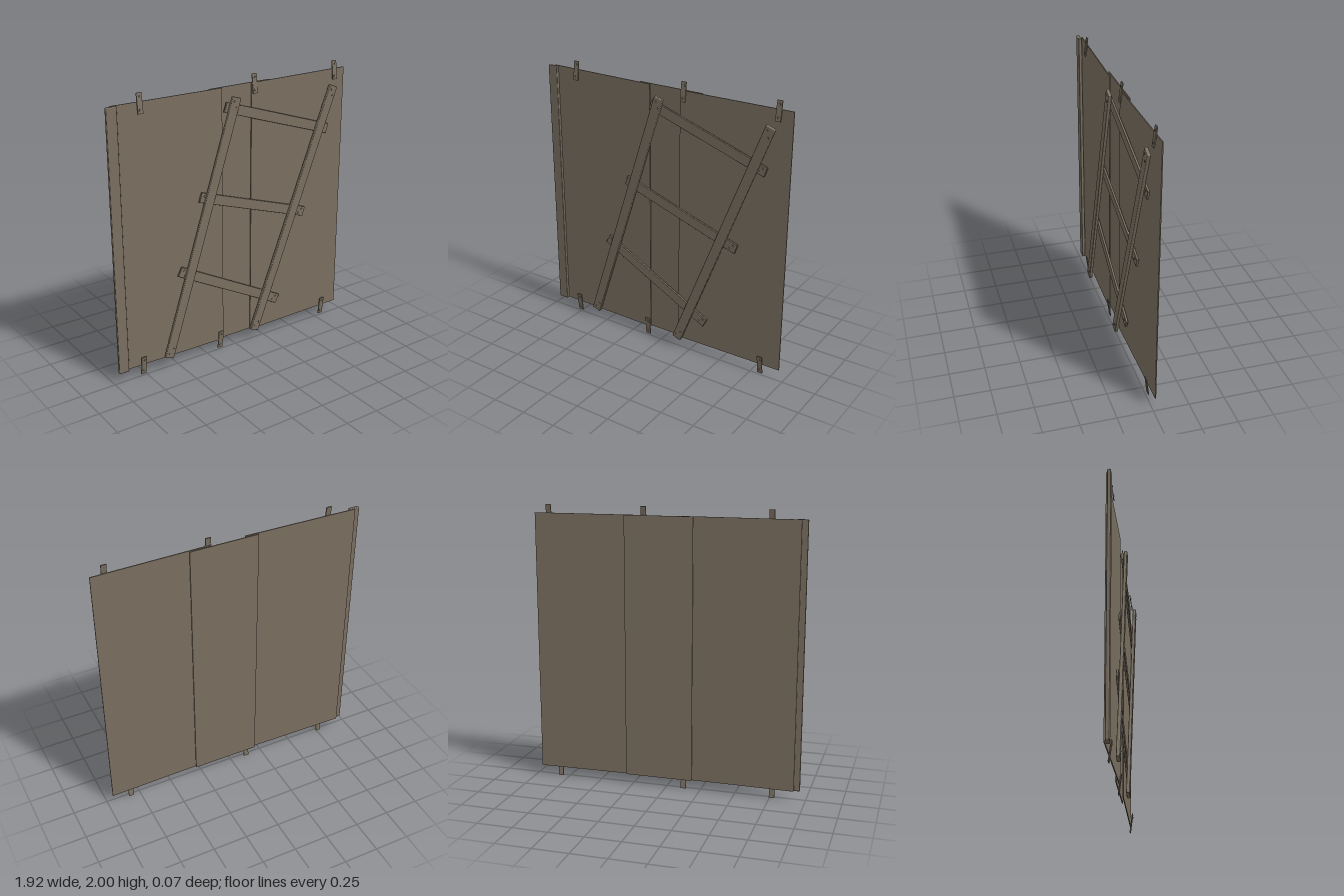
import * as THREE from 'three';
import { RoundedBoxGeometry } from 'three/addons/geometries/RoundedBoxGeometry.js';

const wood = new THREE.MeshStandardMaterial({ color: 0x7a6f60 });
wood.name = 'weatheredWood';

// Plank lying in the xy plane between two points, with bolts at its ends
function plank(name, a, b, width, depth, z, boltOffsets = [], boltRadius = 0.008) {
  const group = new THREE.Group();
  group.name = name;
  const dx = b[0] - a[0], dy = b[1] - a[1], length = Math.hypot(dx, dy);
  const board = new THREE.Mesh(new RoundedBoxGeometry(width, length, depth, 2, depth * 0.25), wood);
  board.name = name + 'Board';
  group.add(board);
  for (const end of [-1, 1]) {
    for (const [along, across] of boltOffsets) {
      const bolt = new THREE.Mesh(new THREE.CylinderGeometry(boltRadius * 0.8, boltRadius, 0.005, 8), wood);
      bolt.name = 'bolt';
      bolt.rotation.x = Math.PI / 2;
      bolt.position.set(across, end * (length / 2 - along), depth / 2 + 0.001);
      group.add(bolt);
    }
  }
  group.position.set((a[0] + b[0]) / 2, (a[1] + b[1]) / 2, z);
  group.rotation.z = Math.atan2(-dx, dy);
  return group;
}

// Thin sheet from x0 to x1, slightly turned so that neighbours overlap
function sheet(name, x0, z0, x1, z1) {
  const group = new THREE.Group();
  group.name = name;
  const width = Math.hypot(x1 - x0, z1 - z0);
  for (const [y0, y1] of [[0.07, 1.005], [1.005, 1.94]]) {
    const half = new THREE.Mesh(new THREE.BoxGeometry(width, y1 - y0, 0.007), wood);
    half.name = y0 < 1 ? 'lowerSheet' : 'upperSheet';
    half.position.y = (y0 + y1) / 2;
    group.add(half);
  }
  group.position.set((x0 + x1) / 2, 0, (z0 + z1) / 2);
  group.rotation.y = -Math.atan2(z1 - z0, x1 - x0);
  return group;
}

// Small strap bolted on the sheet edge and leaning back past it
function strap(x, inner, outer) {
  const group = new THREE.Group();
  group.name = 'edgeStrap';
  const length = Math.abs(outer - inner);
  const plate = new THREE.Mesh(new THREE.BoxGeometry(0.038, length, 0.007), wood);
  plate.name = 'strapPlate';
  group.add(plate);
  for (const end of [-1, 1]) {
    const bolt = new THREE.Mesh(new THREE.CylinderGeometry(0.006, 0.008, 0.005, 8), wood);
    bolt.name = 'bolt';
    bolt.rotation.x = Math.PI / 2;
    bolt.position.set(0.004 * end, end * (length / 2 - 0.025), 0.005);
    group.add(bolt);
  }
  group.position.set(x, (inner + outer) / 2, -0.011);
  group.rotation.x = Math.atan2(-0.018, outer - inner > 0 ? length : -length);
  if (outer < inner) group.rotation.x = Math.atan2(0.018, length);
  return group;
}

export function createModel() {
  const model = new THREE.Group();
  model.name = 'boardedPanel';

  // Overlapping backing sheets
  model.add(
    sheet('leftSheet', -0.92, -0.03, -0.10, -0.014),
    sheet('middleSheet', -0.19, -0.032, 0.30, -0.032),
    sheet('rightSheet', 0.14, -0.015, 0.96, -0.027)
  );

  // Upright board along the side edge
  model.add(plank('edgeBoard', [-0.923, 0.07], [-0.923, 1.94], 0.075, 0.024, -0.01));

  // Leaning ladder frame: two rails in front of three rungs
  const bolts = [[0.03, -0.012], [0.07, 0.014]];
  model.add(
    plank('ladderRail', [-0.58, 0.085], [-0.005, 1.87], 0.07, 0.024, 0.02, bolts),
    plank('ladderRail', [0.15, 0.08], [0.83, 1.83], 0.07, 0.024, 0.02, bolts)
  );
  const rungBolts = [[0.03, -0.015], [0.05, 0.015]];
  for (const [a, b] of [
    [[-0.085, 1.81], [0.80, 1.515]],
    [[-0.29, 1.215], [0.605, 0.915]],
    [[-0.465, 0.71], [0.375, 0.265]]
  ]) model.add(plank('ladderRung', a, b, 0.072, 0.016, 0.001, rungBolts));

  // Straps on the top and bottom edges
  for (const x of [-0.72, 0.165, 0.862]) model.add(strap(x, 1.865, 2.0));
  for (const x of [-0.765, -0.125, 0.817]) model.add(strap(x, 0.14, 0.002));

  return model;
}
